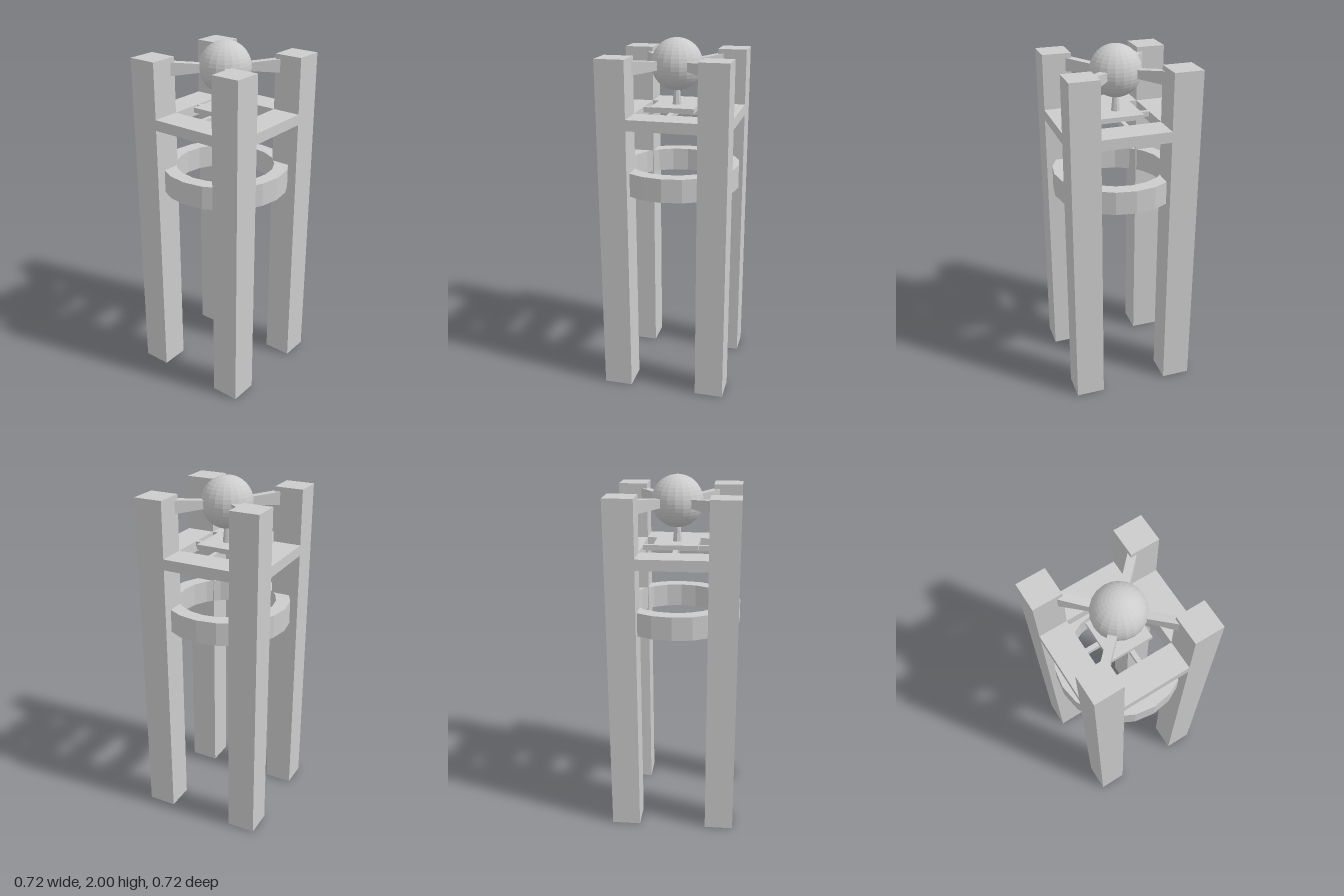
import * as THREE from 'three';

const material = new THREE.MeshStandardMaterial({ color: 0xcccccc, flatShading: true });

function add(parent, name, geometry, x = 0, y = 0, z = 0) {
  const mesh = new THREE.Mesh(geometry, material);
  mesh.name = name;
  mesh.position.set(x, y, z);
  parent.add(mesh);
  return mesh;
}

export function createModel() {
  const tower = new THREE.Group();
  tower.name = 'tower';

  const outer = 0.355, inner = 0.193;
  const width = outer - inner, mid = (outer + inner) / 2;
  const ballY = 1.857, ballR = 0.143;

  // Arm side profile, growing taller toward the post
  const armShape = new THREE.Shape([
    new THREE.Vector2(0.1, -0.02),
    new THREE.Vector2(0.33, -0.04),
    new THREE.Vector2(0.33, 0.04),
    new THREE.Vector2(0.1, 0.02),
  ]);
  const armGeometry = new THREE.ExtrudeGeometry(armShape, { depth: 0.045, bevelEnabled: false });
  armGeometry.translate(0, 0, -0.0225);

  // One post, rail, cross bar and arm per quarter turn
  for (let i = 0; i < 4; i++) {
    const side = new THREE.Group();
    side.name = 'side' + (i + 1);
    side.rotation.y = (i * Math.PI) / 2;
    tower.add(side);

    add(side, 'post', new THREE.BoxGeometry(width, 1.92, width), mid, 0.96, mid);
    add(side, 'rail', new THREE.BoxGeometry(inner * 2, 0.06, width), 0, 1.58, mid);
    add(side, 'crossBar', new THREE.BoxGeometry(0.025, 0.03, inner), 0, 1.595, inner / 2);
    add(side, 'arm', armGeometry, 0, ballY, 0).rotation.y = -Math.PI / 4;
  }

  // Faceted ring running through the posts
  const ringProfile = [[0.28, 1.17], [0.36, 1.17], [0.36, 1.302], [0.28, 1.302], [0.28, 1.17]]
    .map(([r, y]) => new THREE.Vector2(r, y));
  add(tower, 'ring', new THREE.LatheGeometry(ringProfile, 20));

  // Ball on its stem and base plate
  add(tower, 'basePlate', new THREE.BoxGeometry(0.246, 0.028, 0.246), 0, 1.621, 0);
  add(tower, 'stem', new THREE.CylinderGeometry(0.016, 0.026, 0.1, 8), 0, 1.682, 0);
  add(tower, 'ball', new THREE.SphereGeometry(ballR, 20, 20), 0, ballY, 0);

  return tower;
}
